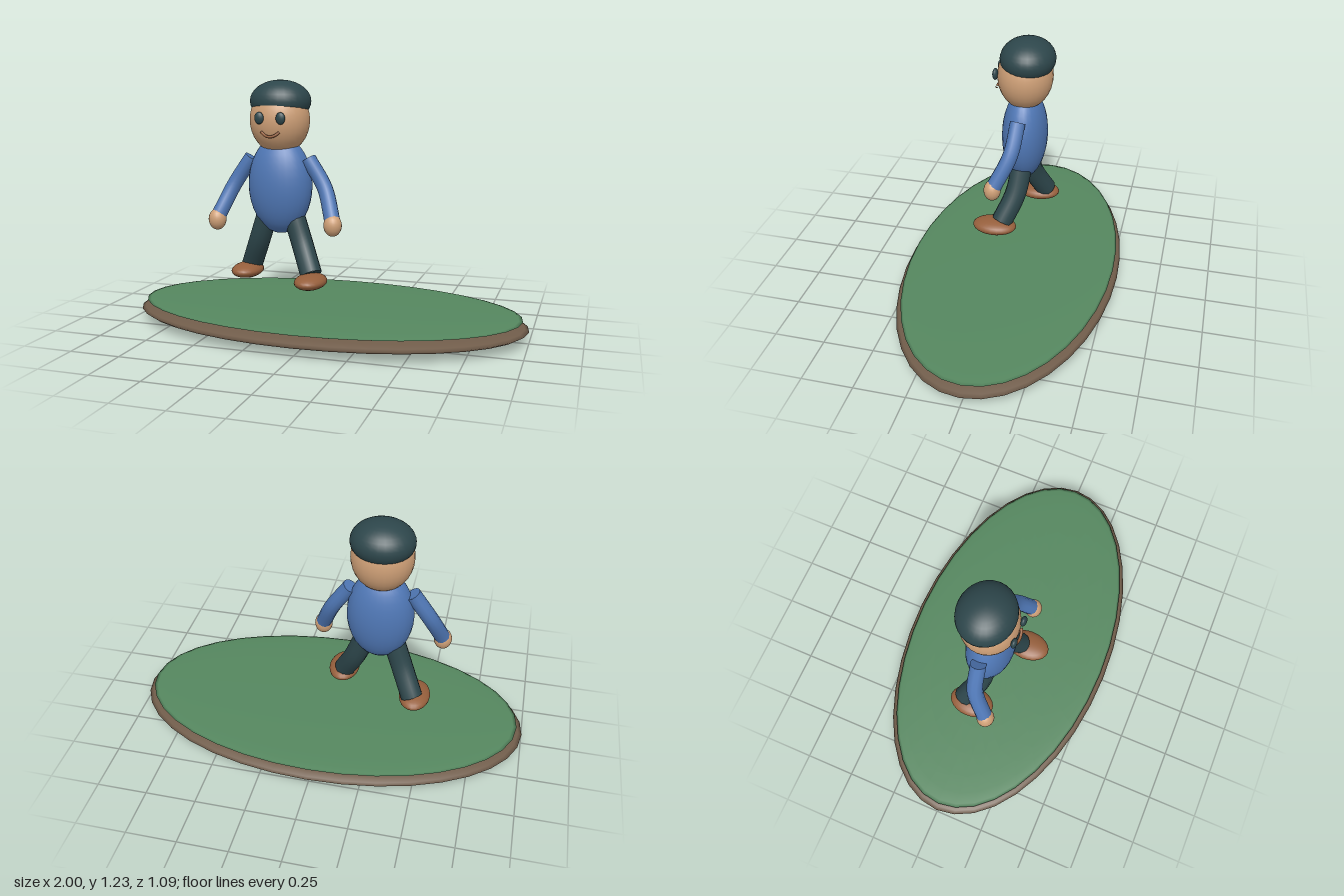
import * as THREE from 'three';

export function createModel() {
  const model = new THREE.Group();
  const material = (name, color) => {
    const m = new THREE.MeshStandardMaterial({ color });
    m.name = name;
    return m;
  };
  const earth = material('earth brown', 0x705c4a);
  const grass = material('grass green', 0x55875f);
  const skin = material('skin tan', 0xcfa077);
  const blue = material('shirt blue', 0x4f77b5);
  const dark = material('dark teal', 0x2d464b);
  const leather = material('leather brown', 0x965f3c);

  const add = (parent, name, geometry, mat) => {
    const mesh = new THREE.Mesh(geometry, mat);
    mesh.name = name;
    parent.add(mesh);
    return mesh;
  };
  // Smooth ellipsoid from centre and radii
  const ellipsoid = (parent, name, mat, [x, y, z], [rx, ry, rz], w = 28, h = 18) => {
    const g = new THREE.SphereGeometry(1, w, h).scale(rx, ry, rz).translate(x, y, z);
    return add(parent, name, g, mat);
  };
  // Bent limb: a tube through the points, closed by a disc at each end
  const limb = (parent, name, mat, points, radius) => {
    const curve = new THREE.CatmullRomCurve3(points.map((p) => new THREE.Vector3(...p)));
    const group = new THREE.Group();
    group.name = name;
    parent.add(group);
    add(group, name + 'Tube', new THREE.TubeGeometry(curve, 16, radius, 12), mat);
    for (const t of [0, 1]) {
      const cap = add(group, name + 'End', new THREE.CircleGeometry(radius, 12), mat);
      cap.position.copy(curve.getPoint(t));
      const outward = curve.getTangent(t).multiplyScalar(t ? 1 : -1);
      cap.quaternion.setFromUnitVectors(new THREE.Vector3(0, 0, 1), outward);
    }
  };

  // Oval ground: earth with a thin grass layer
  ellipsoid(model, 'earthBase', earth, [0, 0.06, 0], [1, 0.057, 0.545], 36, 16);
  ellipsoid(model, 'grassTop', grass, [0, 0.105, 0], [0.97, 0.018, 0.522], 36, 16);

  // Walking figure, built around its own vertical axis
  const figure = new THREE.Group();
  figure.name = 'figure';
  figure.position.x = -0.245;
  model.add(figure);

  ellipsoid(figure, 'torso', blue, [0, 0.71, 0], [0.165, 0.245, 0.115]);
  ellipsoid(figure, 'head', skin, [0, 1.035, 0], [0.151, 0.17, 0.139]);
  ellipsoid(figure, 'cap', dark, [0, 1.127, -0.012], [0.154, 0.104, 0.138]);

  // Smile
  const smile = new THREE.QuadraticBezierCurve3(
    new THREE.Vector3(-0.046, 0.983, 0.134),
    new THREE.Vector3(0, 0.938, 0.155),
    new THREE.Vector3(0.046, 0.983, 0.134),
  );
  add(figure, 'mouth', new THREE.TubeGeometry(smile, 16, 0.007, 8), leather);

  for (const s of [-1, 1]) {
    const side = s > 0 ? 'left' : 'right';
    ellipsoid(figure, side + 'Eye', dark, [s * 0.055, 1.05, 0.14], [0.024, 0.03, 0.014], 16, 12);

    // Arm and hand
    limb(figure, side + 'Arm', blue,
      [[s * 0.15, 0.845, 0.003], [s * 0.24, 0.705, 0.02], [s * 0.3, 0.555, 0.088]], 0.039);
    ellipsoid(figure, side + 'Hand', skin, [s * 0.304, 0.535, 0.096], [0.045, 0.054, 0.043], 20, 14);

    // Leg and shoe: the left foot steps forward, the right one trails
    limb(figure, side + 'Leg', dark,
      [[s * 0.07, 0.56, 0], [s * 0.122, 0.42, s * 0.02], [s * 0.187, 0.28, s * 0.077]], 0.055);
    ellipsoid(figure, side + 'Shoe', leather,
      [s * 0.197, 0.254, 0.04 + s * 0.075], [0.078, 0.038, 0.114], 24, 14);
  }
  return model;
}
